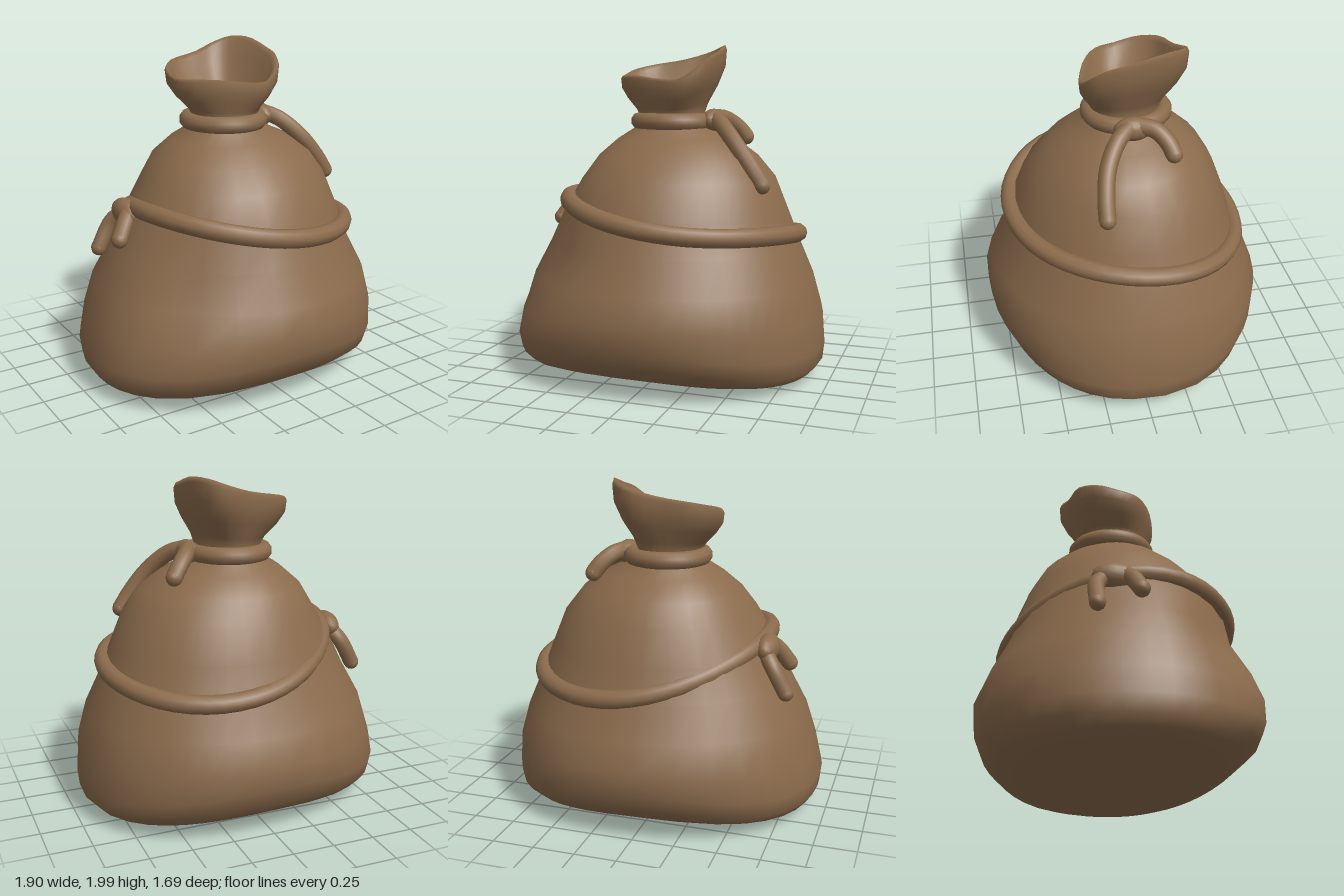
import * as THREE from 'three';

const V = (x, y, z) => new THREE.Vector3(x, y, z);
const SIDES = 36;

// Rim of the open mouth, running from the left side (+x) round past the front
const RIM = [
  V(0.3, 1.95, 0), V(0.285, 1.92, 0.12), V(0.235, 1.86, 0.205), V(0.13, 1.79, 0.25), V(0, 1.79, 0.23),
  V(-0.17, 1.81, 0.17), V(-0.29, 1.81, 0.08), V(-0.335, 1.81, -0.03), V(-0.315, 1.85, -0.18),
  V(-0.22, 1.88, -0.29), V(-0.03, 1.91, -0.33), V(0.13, 1.955, -0.37), V(0.23, 1.99, -0.33), V(0.29, 1.995, -0.2),
];

// Sack cross-sections: y, x min, x max, z min, z max, lift of the front and back
const SECTIONS = [
  [0.012, 0, 0, 0, 0, 0],
  [0.01, -0.5, 0.5, -0.35, 0.35, 0.01],
  [0.022, -0.8, 0.76, -0.56, 0.56, 0.045],
  [0.06, -0.9, 0.885, -0.71, 0.7, 0.07],
  [0.12, -0.94, 0.94, -0.79, 0.79, 0.09],
  [0.22, -0.95, 0.95, -0.835, 0.84, 0.1],
  [0.4, -0.91, 0.935, -0.845, 0.85, 0.05],
  [0.6, -0.85, 0.88, -0.785, 0.81, 0],
  [0.8, -0.75, 0.8, -0.69, 0.7, 0],
  [1.0, -0.65, 0.72, -0.63, 0.65, 0],
  [1.2, -0.53, 0.64, -0.555, 0.545, 0],
  [1.33, -0.445, 0.54, -0.475, 0.43, 0],
  [1.43, -0.33, 0.4, -0.365, 0.3, 0],
  [1.5, -0.22, 0.24, -0.25, 0.19, 0],
  [1.56, -0.19, 0.19, -0.23, 0.17, 0],
];

function sectionPoint([y, x0, x1, z0, z1, lift], a) {
  const c = Math.cos(a), s = Math.sin(a);
  // fold in the cloth under the belly rope at the front right corner
  const fold = 0.11 * Math.exp(-(((a - 2.35) / 0.32) ** 2) - ((y - 0.73) / 0.22) ** 2);
  // two opposite corners bulge; above the belly the other two draw in
  const skew = -Math.sin(2 * a);
  const bulge = y < 0.7 ? 0.03 * Math.max(0, skew) : y < 1.25 ? 0.025 * skew : 0;
  const k = 1 + bulge - fold;
  const x = c * (c > 0 ? x1 : -x0) * k;
  const z = s * (s > 0 ? z1 : -z0) * k;
  return V(x, y + lift * s ** 4 - (y < 0.3 ? 0.013 * x : 0), z);
}

function sackGeometry() {
  const rim = new THREE.CatmullRomCurve3(RIM, true).getPoints(SIDES).slice(0, SIDES);
  const angles = rim.map((p) => {
    const a = Math.atan2(p.z + 0.04, p.x);
    return a < -0.3 ? a + Math.PI * 2 : a;
  });
  const rings = SECTIONS.map((sec) => angles.map((a) => sectionPoint(sec, a)));
  const neck = rings[rings.length - 1];

  // flared collar: blend from neck to rim, [height, spread]
  for (const [h, w] of [[0.2, 0.22], [0.45, 0.65], [0.7, 0.95], [0.93, 1]]) {
    rings.push(rim.map((p, i) => V(
      THREE.MathUtils.lerp(neck[i].x, p.x, w),
      THREE.MathUtils.lerp(neck[i].y, p.y, h),
      THREE.MathUtils.lerp(neck[i].z, p.z, w))));
  }
  // rolled lip, then the hollow inside of the mouth: [scale, drop]
  for (const [k, drop] of [[0.97, 0], [0.87, 0.02], [0.78, 0.1]]) {
    rings.push(rim.map((p) => V(p.x * k, p.y - drop, (p.z + 0.04) * k - 0.04)));
  }
  rings.push(neck.map((p) => V(p.x * 0.6, 1.63, p.z * 0.6)));
  rings.push(neck.map(() => V(0, 1.57, -0.03)));

  const index = [];
  for (let r = 0; r < rings.length - 1; r++) {
    for (let i = 0; i < SIDES; i++) {
      const j = (i + 1) % SIDES;
      const a = r * SIDES + i, b = r * SIDES + j;
      index.push(a, a + SIDES, b, b, a + SIDES, b + SIDES);
    }
  }
  const geo = new THREE.BufferGeometry().setFromPoints(rings.flat());
  geo.setIndex(index);
  geo.computeVertexNormals();
  return geo;
}

export function createModel() {
  const cloth = new THREE.MeshStandardMaterial({ color: 0x8b6b4c });
  cloth.name = 'brown cloth';
  const model = new THREE.Group();
  model.name = 'tiedSack';

  const add = (name, geo, parent = model) => {
    const mesh = new THREE.Mesh(geo, cloth);
    mesh.name = name;
    parent.add(mesh);
    return mesh;
  };

  // closed rope loop from a function of angle
  const loop = (name, radius, at) => {
    const pts = Array.from({ length: 20 }, (_, i) => at((i / 20) * Math.PI * 2));
    add(name, new THREE.TubeGeometry(new THREE.CatmullRomCurve3(pts, true), 48, radius, 10, true));
  };

  // loose rope end with a rounded tip
  const tail = (name, radius, pts) => {
    const group = new THREE.Group();
    group.name = name;
    model.add(group);
    add('rope', new THREE.TubeGeometry(new THREE.CatmullRomCurve3(pts), 14, radius, 10), group);
    for (const p of [pts[0], pts[pts.length - 1]]) {
      add('ropeTip', new THREE.SphereGeometry(radius, 10, 8), group).position.copy(p);
    }
  };

  const knot = (name, radius, pos, sx, sy, sz) => {
    const mesh = add(name, new THREE.SphereGeometry(radius, 14, 10));
    mesh.position.copy(pos);
    mesh.scale.set(sx, sy, sz);
  };

  add('sack', sackGeometry());

  // rope round the neck
  loop('neckRope', 0.052, (a) => V(0.005 + 0.215 * Math.cos(a), 1.535, -0.04 + 0.22 * Math.sin(a)));
  knot('neckKnot', 0.075, V(0.26, 1.54, -0.03), 0.9, 0.95, 1.5);
  tail('neckFrontTail', 0.05, [V(0.26, 1.56, -0.02), V(0.34, 1.52, 0.07), V(0.45, 1.41, 0.15), V(0.55, 1.28, 0.18), V(0.615, 1.18, 0.185)]);
  tail('neckBackTail', 0.05, [V(0.26, 1.56, -0.05), V(0.31, 1.545, -0.15), V(0.37, 1.49, -0.21), V(0.41, 1.435, -0.235)]);

  // slanting rope round the belly
  loop('bellyRope', 0.055, (a) => {
    const c = Math.cos(a), s = Math.sin(a), k = 1 - 0.04 * Math.sin(2 * a);
    return V(0.085 + 0.685 * c * k, 0.89 + 0.07 * s + 0.085 * c * c - 0.095 * c, 0.675 * s * k);
  });
  knot('bellyKnot', 0.09, V(-0.63, 1.03, -0.11), 0.8, 0.9, 1.5);
  tail('bellyFrontTail', 0.05, [V(-0.62, 1.06, -0.08), V(-0.68, 1.0, -0.02), V(-0.74, 0.91, 0.02)]);
  tail('bellyBackTail', 0.047, [V(-0.61, 1.04, -0.15), V(-0.68, 0.95, -0.22), V(-0.765, 0.795, -0.225)]);

  return model;
}
